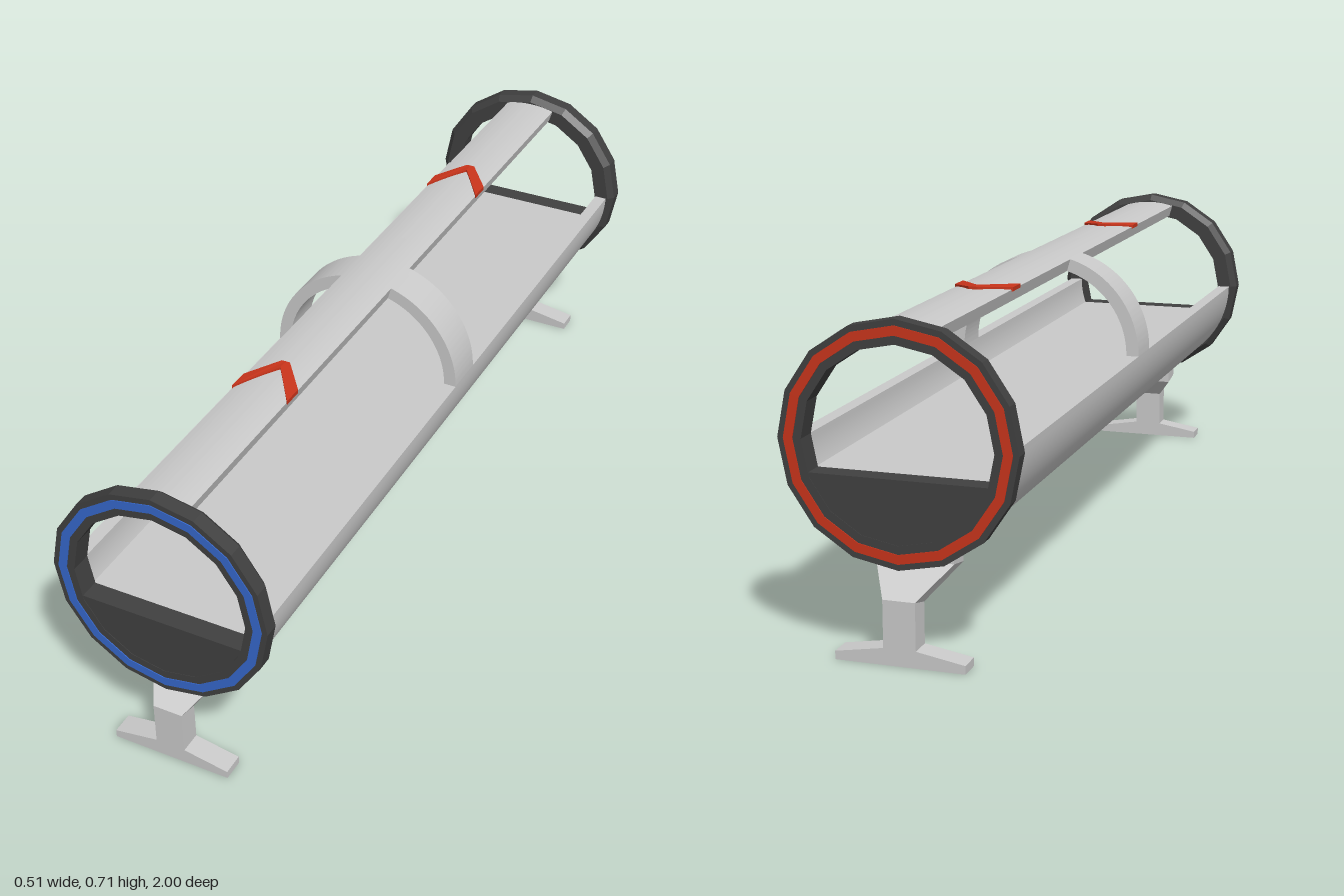
import * as THREE from 'three';
import { toCreasedNormals } from 'three/addons/utils/BufferGeometryUtils.js';

const R_OUT = 0.235, R_IN = 0.205, AXIS_Y = 0.455, BODY_END = 0.952;
const FLOOR_Y = 0.387, STRIP = 0.28; // half angle of the roof strip

const grey = new THREE.MeshStandardMaterial({ color: 0xcacaca });
grey.name = 'light grey';
const dark = new THREE.MeshStandardMaterial({ color: 0x404040 });
dark.name = 'dark grey';
const blue = new THREE.MeshStandardMaterial({ color: 0x3567cb });
blue.name = 'blue';
const red = new THREE.MeshStandardMaterial({ color: 0xc8341b });
red.name = 'red';

function add(parent, name, geometry, material) {
  const mesh = new THREE.Mesh(geometry, material);
  mesh.name = name;
  parent.add(mesh);
  return mesh;
}

// Extrude a shape from z0 to z1
function slab(shape, z0, z1, curveSegments = 24) {
  const g = new THREE.ExtrudeGeometry(shape, { depth: z1 - z0, bevelEnabled: false, curveSegments });
  return g.translate(0, 0, z0);
}

// Curved wall between two angles, running along z
function curvedWall(a0, a1, z0, z1) {
  const s = new THREE.Shape();
  s.absarc(0, 0, R_OUT, a0, a1, false);
  s.absarc(0, 0, R_IN, a1, a0, true);
  s.closePath();
  return toCreasedNormals(slab(s, z0, z1).translate(0, AXIS_Y, 0), 0.5);
}

// Faceted 16-sided ring around the z axis from [radius, z] points
function ring(profile) {
  const pts = profile.map(([r, z]) => new THREE.Vector2(r, z));
  const g = new THREE.LatheGeometry(pts, 16).rotateX(Math.PI / 2).toNonIndexed();
  g.computeVertexNormals();
  return g.translate(0, AXIS_Y, 0);
}

// Flat-sided loft through rectangular sections [halfWidth, yFront, zFront, yBack, zBack]
function loft(sections) {
  const rows = sections.map(([w, yf, zf, yb, zb]) =>
    [[-w, yf, zf], [w, yf, zf], [w, yb, zb], [-w, yb, zb]]);
  const pos = [];
  const quad = (a, b, c, d) => pos.push(...a, ...b, ...c, ...a, ...c, ...d);
  for (let k = 0; k < rows.length - 1; k++) {
    for (let i = 0; i < 4; i++) {
      const j = (i + 1) % 4;
      quad(rows[k][i], rows[k][j], rows[k + 1][j], rows[k + 1][i]);
    }
  }
  quad(...rows[rows.length - 1]);
  quad(...[...rows[0]].reverse());
  const g = new THREE.BufferGeometry();
  g.setAttribute('position', new THREE.Float32BufferAttribute(pos, 3));
  g.computeVertexNormals();
  return g;
}

// Chevron bent over the roof strip, pointing to -z
function chevron(z) {
  const s = new THREE.Shape();
  const pts = [[-0.067, -0.01], [-0.01, 0.06], [0, 0.06], [0.01, 0.06], [0.067, -0.01],
    [0.067, -0.06], [0, 0.035], [-0.067, -0.06]];
  s.setFromPoints(pts.map(([x, y]) => new THREE.Vector2(x, y)));
  const g = slab(s, 0, 0.009).rotateX(-Math.PI / 2);
  const p = g.attributes.position;
  for (let i = 0; i < p.count; i++) {
    const x = p.getX(i);
    p.setY(i, p.getY(i) - 0.003 + AXIS_Y + Math.sqrt(R_OUT ** 2 - x * x));
  }
  g.computeVertexNormals();
  return g.translate(0, 0, z);
}

// Collar, floor bulkhead and leg of one end, built facing +z
function createEnd(name, bandMaterial) {
  const end = new THREE.Group();
  end.name = name;

  add(end, 'endCollar', ring([
    [0.203, 0.95], [0.24, 0.95], [0.254, 0.965], [0.254, 0.998], [0.203, 0.998], [0.203, 0.95],
  ]), dark);
  add(end, 'colourBand', ring([
    [0.241, 0.995], [0.241, 1], [0.221, 1], [0.221, 0.995],
  ]), bandMaterial);

  // Dark bulkhead closing the space below the floor
  const a = Math.asin((FLOOR_Y - AXIS_Y) / 0.206);
  const s = new THREE.Shape();
  s.absarc(0, 0, 0.206, Math.PI - a, 2 * Math.PI + a, false);
  s.closePath();
  add(end, 'bulkhead', slab(s, 0.951, 0.997).translate(0, AXIS_Y, 0), dark);

  // Leg with a wide foot and a cranked bracket
  const foot = new THREE.Shape([
    [-0.14, 0], [0.14, 0], [0.14, 0.018], [0.035, 0.036], [-0.035, 0.036], [-0.14, 0.018],
  ].map(([x, y]) => new THREE.Vector2(x, y)));
  add(end, 'foot', slab(foot, 0.95, 1), grey);
  add(end, 'legBracket', loft([
    [0.035, 0.03, 1, 0.03, 0.95],
    [0.035, 0.138, 1, 0.125, 0.95],
    [0.085, 0.195, 0.91, 0.185, 0.855],
    [0.085, 0.236, 0.91, 0.236, 0.855],
  ]), grey);
  return end;
}

export function createModel() {
  const model = new THREE.Group();
  model.name = 'openTube';

  // Tube body
  const top = Math.PI / 2;
  add(model, 'lowerShell', curvedWall(Math.PI, 2 * Math.PI, -BODY_END, BODY_END), grey);
  add(model, 'roofStrip', curvedWall(top - STRIP, top + STRIP, -BODY_END, BODY_END), grey);
  add(model, 'leftRib', curvedWall(0, top - STRIP, -0.05, 0.05), grey);
  add(model, 'rightRib', curvedWall(top + STRIP, Math.PI, -0.05, 0.05), grey);

  // Floor
  const floor = new THREE.BoxGeometry(0.396, 0.02, 1.902);
  add(model, 'floor', floor.translate(0, FLOOR_Y - 0.01, 0), grey);

  // Direction chevrons
  add(model, 'frontChevron', chevron(0.5), red);
  add(model, 'backChevron', chevron(-0.49), red);

  // Ends
  model.add(createEnd('frontEnd', blue));
  const back = createEnd('backEnd', red);
  back.rotation.y = Math.PI;
  model.add(back);
  return model;
}
